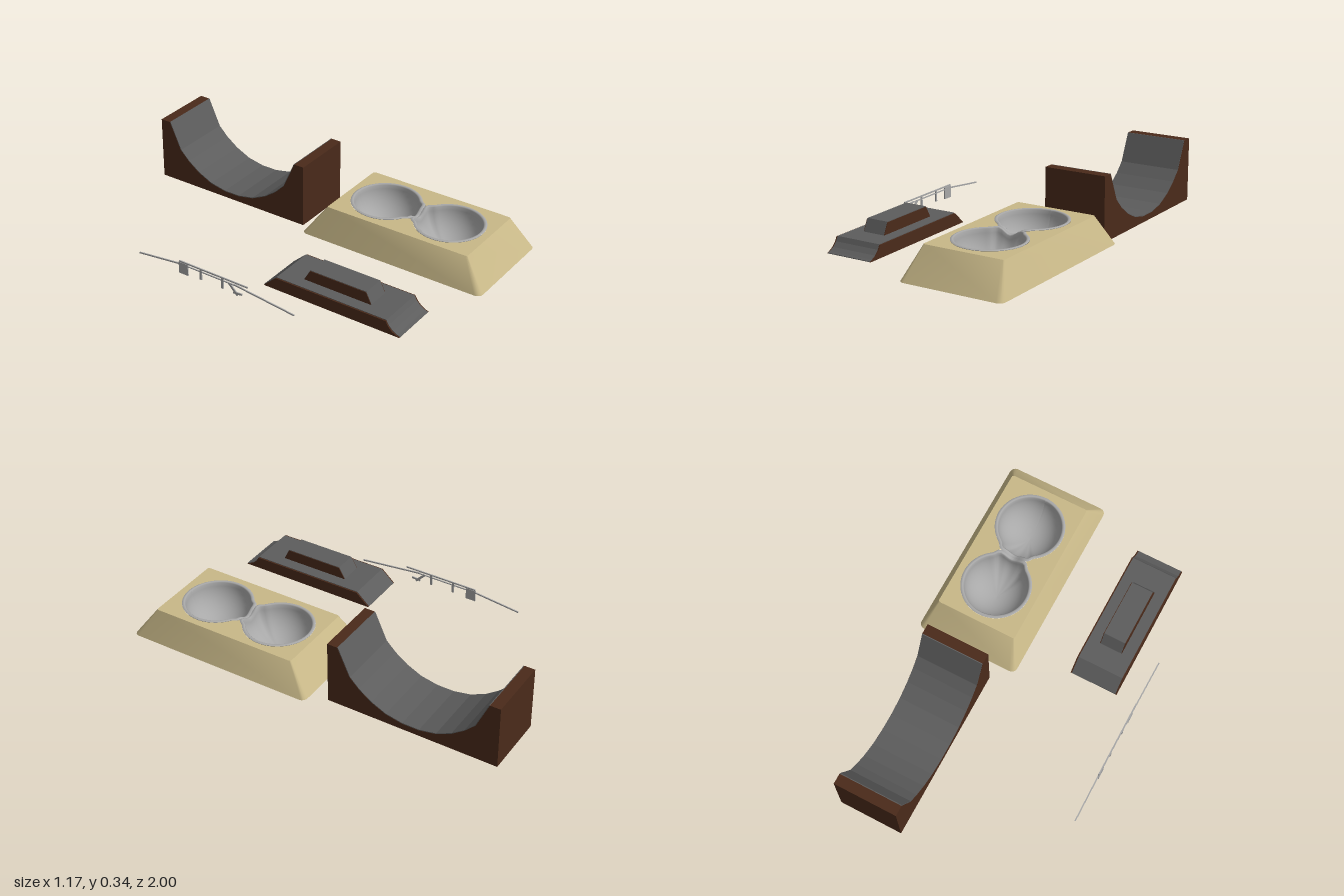
import * as THREE from 'three';
import { toCreasedNormals } from 'three/addons/utils/BufferGeometryUtils.js';

const paint = (color, side = THREE.FrontSide) => new THREE.MeshStandardMaterial({ color, side });

function add(parent, name, geometry, material) {
  const mesh = new THREE.Mesh(geometry, material);
  mesh.name = name;
  parent.add(mesh);
  return mesh;
}

// Prism with a side profile of [z, y] points, running from x0 to x1
function prism(points, x0, x1) {
  const shape = new THREE.Shape(points.map(([z, y]) => new THREE.Vector2(-z, y)));
  const g = new THREE.ExtrudeGeometry(shape, { depth: x1 - x0, bevelEnabled: false });
  return g.rotateY(Math.PI / 2).translate(x0, 0, 0);
}

// Thin sheet lying on a [z, y] line
const sheet = (line, x0, x1, t = 0.004) =>
  prism([...line, ...line.map(([z, y]) => [z, y + t]).reverse()], x0, x1);

// Grid of points turned into a surface; rows are arrays of [x, y, z]
function surface(rows) {
  const n = rows[0].length, index = [];
  for (let i = 0; i < rows.length - 1; i++) {
    for (let j = 0; j < n - 1; j++) {
      const a = i * n + j, c = a + n;
      index.push(a, a + 1, c, a + 1, c + 1, c);
    }
  }
  const g = new THREE.BufferGeometry();
  g.setAttribute('position', new THREE.Float32BufferAttribute(rows.flat(2), 3));
  g.setIndex(index);
  g.computeVertexNormals();
  return g;
}

// Rounded rectangle as [x, z] points
function roundedLoop(cx, cz, w, d, r) {
  const loop = [];
  [[1, 1], [-1, 1], [-1, -1], [1, -1]].forEach(([sx, sz], q) => {
    for (let k = 0; k <= 4; k++) {
      const a = (q + k / 4) * Math.PI / 2;
      loop.push([cx + sx * (w / 2 - r) + r * Math.cos(a), cz + sz * (d / 2 - r) + r * Math.sin(a)]);
    }
  });
  return loop;
}

// Bowl outline: a circle widened where it meets the neck between the bowls
const NECK = 0.38, HALF_GAP = 0.1825, RADIUS = 0.18;
function bowlRadius(phi) {
  const p = Math.abs(phi);
  if (p < NECK) return HALF_GAP / Math.cos(p);
  const extra = HALF_GAP / Math.cos(NECK) - RADIUS;
  return RADIUS + extra * (1 - THREE.MathUtils.smoothstep(p, NECK, 0.6));
}

function bowlDeck(parent) {
  const group = new THREE.Group();
  group.name = 'doubleBowl';
  parent.add(group);
  const tan = paint(0xc8b888, THREE.DoubleSide), grey = paint(0xa8a8a8, THREE.DoubleSide);
  const cx = 0.308, cz = 0.4825, top = 0.192;

  // Sloping walls, open underneath
  const lower = roundedLoop(cx, 0.485, 0.55, 1.02, 0.03);
  const upper = roundedLoop(cx, 0.485, 0.43, 0.795, 0.012);
  const ring = (loop, y) => [...loop, loop[0]].map(([x, z]) => [x, y, z]);
  const walls = surface([ring(upper, top), ring(lower, 0.035)]);
  add(group, 'deckWalls', toCreasedNormals(walls, 0.6), tan);

  // Flat top cut out around both bowls
  const shape = new THREE.Shape(upper.map(([x, z]) => new THREE.Vector2(x, -z)));
  const hole = new THREE.Path(), cut = [];
  for (const s of [-1, 1]) {
    for (let k = 0; k <= 56; k++) {
      const phi = NECK + (2 * Math.PI - 2 * NECK) * k / 56;
      const r = bowlRadius(phi > Math.PI ? phi - 2 * Math.PI : phi);
      cut.push(new THREE.Vector2(cx - s * r * Math.sin(phi), -(cz + s * (HALF_GAP - r * Math.cos(phi)))));
    }
  }
  hole.setFromPoints(cut);
  shape.holes.push(hole);
  add(group, 'deckTop', new THREE.ShapeGeometry(shape).rotateX(-Math.PI / 2).translate(0, top, 0), tan);

  // Bowls: round basins with a raised lip, lowered at the neck
  const profile = [];
  for (let k = 0; k <= 12; k++) {
    const a = k / 12 * Math.PI / 2;
    profile.push([0.9 * Math.sin(a), 0.97 * (1 - Math.cos(a))]);
  }
  profile.push([0.93, 1], [0.97, 1], [1, 0.98]);
  const floor = 0.035, rim = 0.197;
  ['backBowl', 'frontBowl'].forEach((name, b) => {
    const s = b ? 1 : -1;
    const rows = profile.map(([f, h]) => {
      const row = [];
      for (let k = 0; k <= 72; k++) {
        const phi = (k / 72 * 2 - 1) * Math.PI;
        const dip = Math.abs(phi) < NECK ? 0.03 * Math.cos(phi / NECK * Math.PI / 2) ** 2 : 0;
        const r = bowlRadius(phi) * f;
        row.push([cx - s * s * s * r * Math.sin(phi), floor + (rim - dip - floor) * h,
          cz + s * (HALF_GAP - r * Math.cos(phi))]);
      }
      return row;
    });
    add(group, name, surface(rows), grey);
  });
}

function halfPipe(parent) {
  const group = new THREE.Group();
  group.name = 'halfPipe';
  parent.add(group);
  const curve = [[-0.145, 0.335], [-0.21, 0.19], [-0.265, 0.135], [-0.33, 0.088], [-0.41, 0.05], [-0.5, 0.032]];
  const line = [...curve, ...curve.map(([z, y]) => [-1.09 - z, y]).reverse()];
  add(group, 'halfPipeBody', prism([[-0.09, 0], [-0.09, 0.335], ...line, [-1, 0.335], [-1, 0]], 0.14, 0.475), paint(0x4a2a1a));
  add(group, 'halfPipeSurface', sheet(line.slice(1, -1), 0.141, 0.474), paint(0x5c5c5c));
  // steep upper parts get a sheet set off sideways
  for (const [a, b, d] of [[line[0], line[1], -0.004], [line[11], line[10], 0.004]]) {
    add(group, 'halfPipeUpperSurface',
      prism([a, b, [b[0] + d, b[1]], [a[0] + d, a[1]]], 0.141, 0.474), paint(0x5c5c5c));
  }
}

function funBox(parent) {
  const group = new THREE.Group();
  group.name = 'funBox';
  parent.add(group);
  const brown = paint(0x4a2a1a), grey = paint(0x5c5c5c);
  // Base: straight bank at the back, curved ramp at the front
  const base = [[0.11, 0.045], [0.18, 0.108], [0.79, 0.108], [0.803, 0.085], [0.825, 0.063], [0.85, 0.05], [0.865, 0.045]];
  add(group, 'funBoxBase', prism(base, -0.472, -0.215), brown);
  add(group, 'funBoxSurface', sheet(base, -0.465, -0.222, 0.003), grey);
  // Raised ledge with sloping ends
  const ledge = [[0.295, 0.108], [0.33, 0.168], [0.64, 0.168], [0.67, 0.108]];
  add(group, 'ledge', prism(ledge, -0.405, -0.283), brown);
  add(group, 'ledgeSurface', sheet(ledge, -0.402, -0.286, 0.003), grey);
}

function grindRail(parent) {
  const group = new THREE.Group();
  group.name = 'grindRail';
  parent.add(group);
  const grey = paint(0xa8a8a8), x = -0.584;
  // Square bar between two [z, y] points
  const bar = (name, [z0, y0], [z1, y1], t = 0.007) => {
    const mesh = add(group, name, new THREE.BoxGeometry(0.006, t, Math.hypot(z1 - z0, y1 - y0)), grey);
    mesh.position.set(x, (y0 + y1) / 2, (z0 + z1) / 2);
    mesh.rotation.x = -Math.atan2(y1 - y0, z1 - z0);
  };
  bar('frontSlope', [0.365, 0.034], [0.02, 0.072]);
  bar('topBar', [0.1, 0.085], [-0.31, 0.085]);
  bar('lowerBar', [0.06, 0.07], [-0.28, 0.07], 0.005);
  bar('backSlope', [-0.28, 0.073], [-0.56, 0.041]);
  // Feet
  for (const z of [-0.18, -0.05]) bar('post', [z, 0.085], [z, 0.025], 0.012);
  bar('backPlate', [-0.285, 0.08], [-0.285, 0.018], 0.055);
  bar('frontBrace', [-0.01, 0.07], [0.04, 0.019], 0.012);
  bar('frontBraceFoot', [0.065, 0.032], [0.015, 0.028], 0.01);
}

export function createModel() {
  const model = new THREE.Group();
  model.name = 'skateparkSet';
  bowlDeck(model);
  halfPipe(model);
  funBox(model);
  grindRail(model);
  return model;
}
